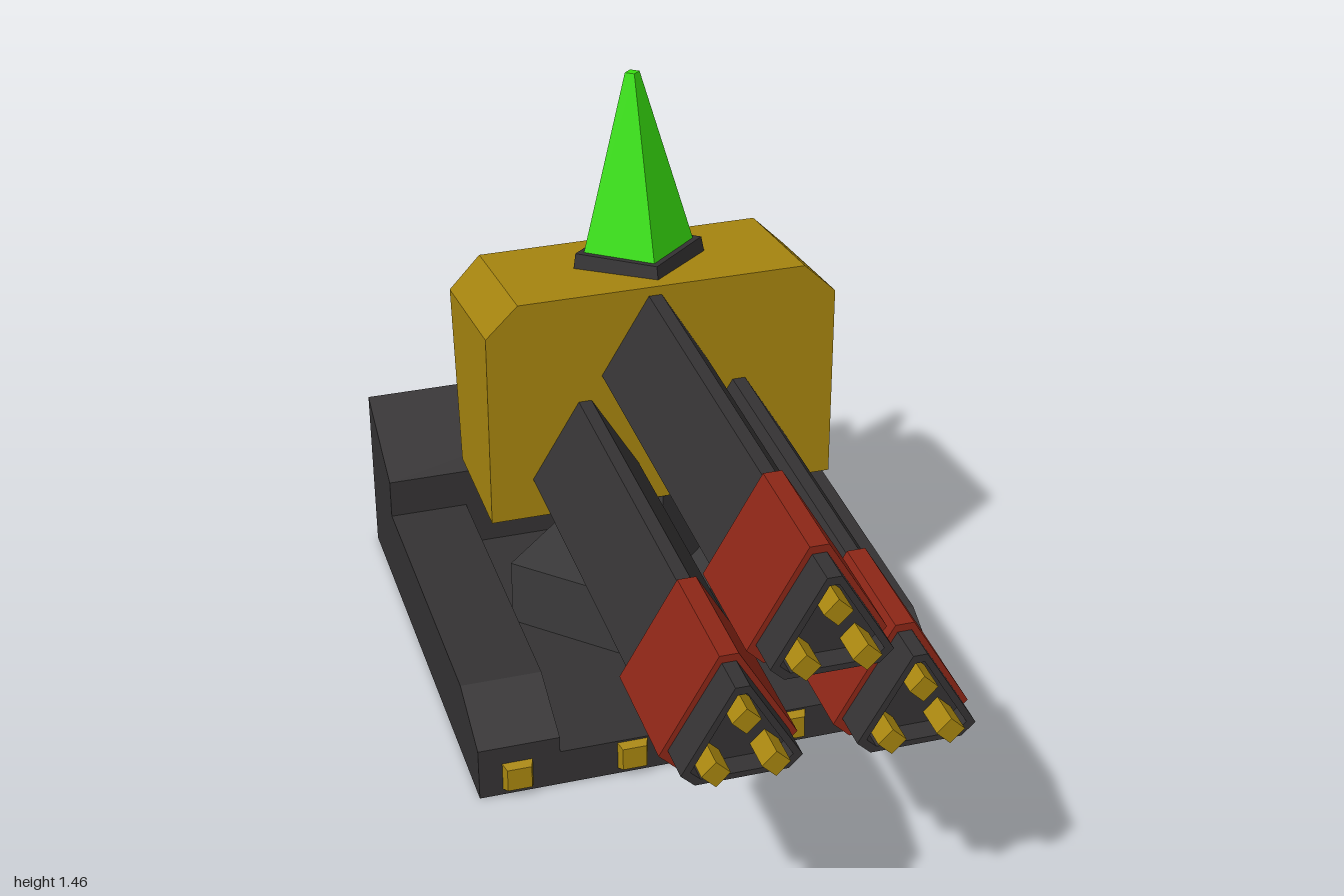
import * as THREE from 'three';

const mat = (color) => new THREE.MeshStandardMaterial({ color, flatShading: true });

export function createModel() {
  const model = new THREE.Group();
  const dark = mat(0x343233), steel = mat(0x3b3a3b), yellow = mat(0xa8860f);
  const red = mat(0x8c2616), green = mat(0x38e010);

  const add = (name, geometry, material, parent = model, x = 0, y = 0, z = 0) => {
    const mesh = new THREE.Mesh(geometry, material);
    mesh.name = name;
    mesh.position.set(x, y, z);
    parent.add(mesh);
    return mesh;
  };
  const outline = (points) => new THREE.Shape(points.map(([x, y]) => new THREE.Vector2(x, y)));
  const extrude = (shape, depth) => new THREE.ExtrudeGeometry(shape, { depth, bevelEnabled: false });
  // Side profile given as [z, y], extruded along x and centred
  const sideExtrude = (points, width) =>
    extrude(outline(points), width).translate(0, 0, -width / 2).rotateY(-Math.PI / 2);
  // Four-sided post with its corners on the x and z axes
  const diamond = (top, bottom, height) =>
    new THREE.CylinderGeometry(top, bottom, height, 4).translate(0, height / 2, 0);

  // Base: floor slab, rear wedge and sloping side rails
  add('baseFloor', sideExtrude([[-0.78, 0], [0.15, 0], [0.15, 0.09], [-0.78, 0.09]], 0.72), dark);
  add('rearWedge', sideExtrude([[-1, 0], [-0.77, 0], [-0.77, 0.3], [-1, 0.42]], 1.1), dark);
  const railProfile = [[-0.78, 0], [0.15, 0], [0.15, 0.13], [-0.01, 0.203], [-0.78, 0.203]];
  for (const side of [-1, 1]) {
    add(side > 0 ? 'leftRail' : 'rightRail', sideExtrude(railProfile, 0.19), dark, model, side * 0.455);
  }

  // Front lamps
  for (const x of [-0.46, -0.19, 0.19, 0.46]) {
    const lamp = new THREE.CylinderGeometry(0.04, 0.05, 0.02, 4).rotateY(Math.PI / 4).rotateX(Math.PI / 2);
    add('frontLamp', lamp, yellow, model, x, 0.05, 0.16);
  }

  // Pedestal
  add('turntable', diamond(0.335, 0.335, 0.17), steel, model, 0, 0.085, -0.395);
  add('neck', diamond(0.152, 0.182, 0.24), steel, model, 0, 0.25, -0.395);

  // Head: chamfered block, widening upward with a roof sloping to the back
  const headShape = outline([
    [-0.41, 0.475], [0.41, 0.475], [0.41, 0.96], [0.335, 1.035], [-0.335, 1.035], [-0.41, 0.96],
  ]);
  const head = extrude(headShape, 1);
  const p = head.attributes.position;
  for (let i = 0; i < p.count; i++) {
    const y = p.getY(i), t = (y - 0.475) / 0.56;
    if (p.getZ(i) > 0.5) p.setZ(i, -0.24 + 0.013 * t);
    else p.setXYZ(i, p.getX(i), y > 0.9 ? y - 0.055 : y, -0.545 - 0.058 * t);
  }
  head.computeVertexNormals();
  add('head', head, yellow);

  // Crystal spike leaning back on its collar
  const spike = new THREE.Group();
  spike.name = 'spikeAssembly';
  spike.position.set(0, 1.0, -0.42);
  spike.rotation.x = -0.11;
  add('collar', diamond(0.15, 0.157, 0.042), dark, spike);
  const crystal = add('crystal', diamond(0.017, 0.13, 0.415), green, spike, 0, 0.041, 0);
  crystal.rotation.x = 0.02;
  model.add(spike);

  // Triangular launch tubes with cut corners
  const triangle = (foot, low, waist, mid, tip, top) => [
    [-foot, low], [foot, low], [waist, mid], [tip, top], [-tip, top], [-waist, mid],
  ];
  const bandOutline = triangle(0.11, 0, 0.145, 0.035, 0.02, 0.25);
  const bodyOutline = triangle(0.097, 0.017, 0.126, 0.045, 0.015, 0.233);
  const holeOutline = triangle(0.085, 0.03, 0.106, 0.05, 0.01, 0.215);
  const recess = 0.05;

  function tube(name, x, y, front) {
    const group = new THREE.Group();
    group.name = name;
    group.position.set(x, y, 0);
    model.add(group);

    const bodyLength = front - recess + 0.3;
    add('tubeBody', extrude(outline(bodyOutline), bodyLength), dark, group, 0, 0, -0.3);
    const rim = outline(bodyOutline);
    rim.holes.push(outline(holeOutline));
    add('tubeRim', extrude(rim, recess), dark, group, 0, 0, front - recess);
    add('tubeBand', extrude(outline(bandOutline), 0.285), red, group, 0, 0, front - 0.373);

    // Three small muzzles
    for (const [mx, my] of [[0, 0.17], [-0.062, 0.055], [0.062, 0.055]]) {
      const muzzle = diamond(0.03, 0.03, recess + 0.027).rotateX(Math.PI / 2);
      add('muzzle', muzzle, yellow, group, mx, my, front - recess);
    }
  }
  tube('upperTube', -0.018, 0.78, 0.973);
  tube('leftTube', 0.182, 0.532, 0.93);
  tube('rightTube', -0.184, 0.532, 0.93);

  return model;
}
